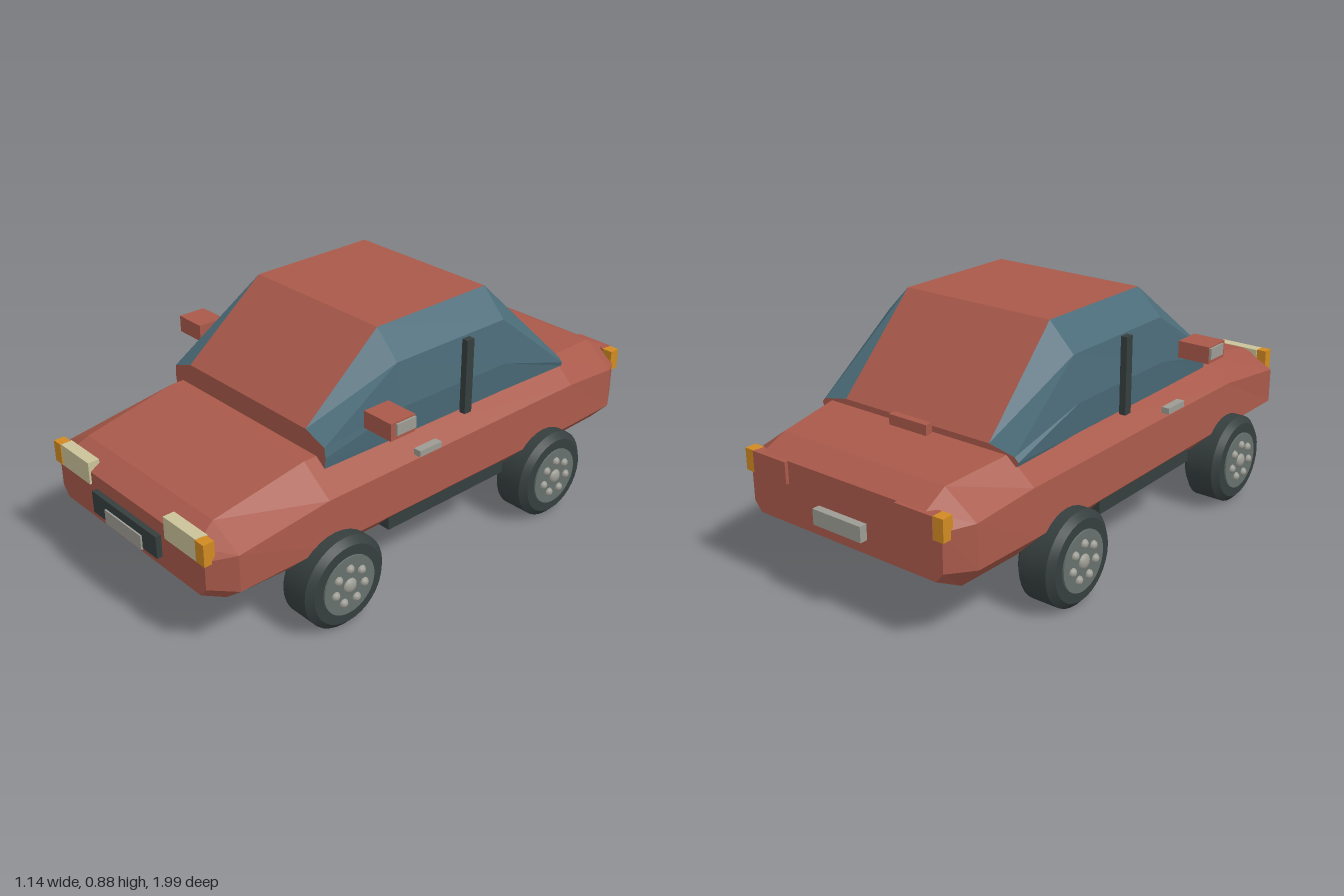
import * as THREE from 'three';
import { toCreasedNormals } from 'three/addons/utils/BufferGeometryUtils.js';

function material(name, color) {
  const m = new THREE.MeshStandardMaterial({ color });
  m.name = name;
  return m;
}

// Loft mirrored half sections {z, pts: [[x, y] top to bottom]} from front to back.
// isSecond(segment) sends a strip to the second material group.
function loft(sections, isSecond = () => false) {
  const first = [], second = [];
  const rings = sections.map(({ z, pts }) => [
    ...pts.map(([x, y]) => [x, y, z]),
    ...[...pts].reverse().map(([x, y]) => [-x, y, z]),
  ]);
  const n = rings[0].length;
  for (let i = 0; i < rings.length - 1; i++) {
    for (let j = 0; j < n; j++) {
      const k = (j + 1) % n;
      const a = rings[i][j], b = rings[i][k], c = rings[i + 1][k], d = rings[i + 1][j];
      (isSecond(j) ? second : first).push(...a, ...b, ...c, ...a, ...c, ...d);
    }
  }
  const front = rings[0], back = rings[rings.length - 1];
  for (let k = 1; k < n - 1; k++) {
    first.push(...front[0], ...front[k + 1], ...front[k]);
    first.push(...back[0], ...back[k], ...back[k + 1]);
  }
  const geo = new THREE.BufferGeometry();
  geo.setAttribute('position', new THREE.Float32BufferAttribute([...first, ...second], 3));
  geo.addGroup(0, first.length / 3, 0);
  geo.addGroup(first.length / 3, second.length / 3, 1);
  geo.computeVertexNormals();
  return geo;
}

export function createModel() {
  const car = new THREE.Group();
  car.name = 'car';
  const paint = material('red paint', 0xa8594a);
  const glass = material('blue glass', 0x4a6b78);
  const rubber = material('black rubber', 0x363e3e);
  const rimGrey = material('rim grey', 0x66706c);
  const metal = material('light metal', 0x9c9b93);
  const amber = material('amber lamp', 0xd08a22);
  const lamp = material('headlight cream', 0xcac298);

  const add = (name, geo, mat, parent = car) => {
    const mesh = new THREE.Mesh(geo, mat);
    mesh.name = name;
    parent.add(mesh);
    return mesh;
  };
  // Box given by its extents on each axis
  const box = (name, mat, [x0, x1], [y0, y1], [z0, z1]) =>
    add(name, new THREE.BoxGeometry(x1 - x0, y1 - y0, z1 - z0), mat)
      .position.set((x0 + x1) / 2, (y0 + y1) / 2, (z0 + z1) / 2);
  // The same box on the left and right
  const pair = (name, mat, [x0, x1], y, z) => {
    box(name + 'Left', mat, [x0, x1], y, z);
    box(name + 'Right', mat, [-x1, -x0], y, z);
  };

  // Lower body
  add('body', loft([
    { z: 0.97, pts: [[0.37, 0.42], [0.41, 0.385], [0.41, 0.285], [0.38, 0.25]] },
    { z: 0.89, pts: [[0.35, 0.47], [0.475, 0.405], [0.475, 0.275], [0.4, 0.215]] },
    { z: 0.54, pts: [[0.36, 0.54], [0.48, 0.45], [0.49, 0.29], [0.41, 0.21]] },
    { z: -0.63, pts: [[0.38, 0.54], [0.48, 0.455], [0.49, 0.29], [0.41, 0.207]] },
    { z: -0.88, pts: [[0.345, 0.515], [0.465, 0.43], [0.47, 0.28], [0.4, 0.205]] },
    { z: -0.97, pts: [[0.35, 0.47], [0.41, 0.42], [0.41, 0.285], [0.38, 0.25]] },
  ]), [paint, paint]);

  // Cabin: painted roof and ends, glass sides
  add('cabin', loft([
    { z: 0.49, pts: [[0.31, 0.617], [0.4, 0.585], [0.405, 0.55], [0.4, 0.51]] },
    { z: 0.18, pts: [[0.305, 0.873], [0.4, 0.78], [0.415, 0.62], [0.405, 0.51]] },
    { z: -0.325, pts: [[0.305, 0.877], [0.4, 0.78], [0.42, 0.62], [0.41, 0.51]] },
    { z: -0.637, pts: [[0.31, 0.56], [0.41, 0.54], [0.425, 0.525], [0.42, 0.51]] },
  ], (j) => j !== 3 && j !== 7), [paint, glass]);

  // Nose
  pair('headlight', lamp, [0.213, 0.385], [0.375, 0.455], [0.935, 0.977]);
  pair('frontIndicator', amber, [0.382, 0.424], [0.378, 0.455], [0.94, 0.98]);
  box('grille', rubber, [-0.183, 0.183], [0.29, 0.37], [0.95, 0.99]);
  box('frontPlate', metal, [-0.103, 0.103], [0.285, 0.338], [0.96, 0.996]);

  // Tail
  pair('tailLight', paint, [0.235, 0.385], [0.393, 0.47], [-0.983, -0.94]);
  pair('rearIndicator', amber, [0.382, 0.424], [0.393, 0.47], [-0.98, -0.938]);
  box('rearPlate', metal, [-0.103, 0.103], [0.3, 0.355], [-0.998, -0.965]);
  box('trunkHandle', paint, [-0.08, 0.08], [0.53, 0.573], [-0.67, -0.642]);

  // Sides
  pair('mirror', paint, [0.435, 0.557], [0.622, 0.683], [0.25, 0.355]);
  pair('mirrorGlass', metal, [0.552, 0.565], [0.638, 0.678], [0.253, 0.335]);
  pair('doorPillar', rubber, [0.436, 0.46], [0.523, 0.795], [-0.115, -0.082]);
  pair('doorHandle', metal, [0.482, 0.511], [0.478, 0.5], [0.078, 0.177]);
  pair('sill', rubber, [0.4, 0.475], [0.226, 0.278], [-0.275, 0.28]);

  // Wheels, lathed along the axle with the outer face at local +y
  const profile = [[0, -0.073], [0.142, -0.073], [0.165, -0.052], [0.165, 0.052], [0.142, 0.073], [0, 0.073]]
    .map(([r, y]) => new THREE.Vector2(r, y));
  const tyreGeo = toCreasedNormals(new THREE.LatheGeometry(profile, 32), 0.5);
  const rimGeo = new THREE.CylinderGeometry(0.106, 0.106, 0.012, 32);
  const boltGeo = new THREE.SphereGeometry(0.0165, 12, 8);
  const hubGeo = new THREE.SphereGeometry(0.027, 16, 10);
  for (const side of [1, -1]) {
    for (const [end, z] of [['front', 0.525], ['rear', -0.475]]) {
      const wheel = new THREE.Group();
      wheel.name = end + 'Wheel' + (side > 0 ? 'Left' : 'Right');
      add('tyre', tyreGeo, rubber, wheel);
      add('rim', rimGeo, rimGrey, wheel).position.y = 0.073;
      const hub = add('hub', hubGeo, metal, wheel);
      hub.position.y = 0.077;
      hub.scale.y = 0.6;
      for (let i = 0; i < 7; i++) {
        const a = (i / 7) * Math.PI * 2;
        // local x points down or up once the axle is turned sideways
        add('bolt', boltGeo, metal, wheel)
          .position.set(-side * 0.062 * Math.cos(a), 0.077, 0.062 * Math.sin(a));
      }
      wheel.rotation.z = -side * Math.PI / 2;
      wheel.position.set(side * 0.478, 0.166, z);
      car.add(wheel);
    }
  }
  return car;
}
